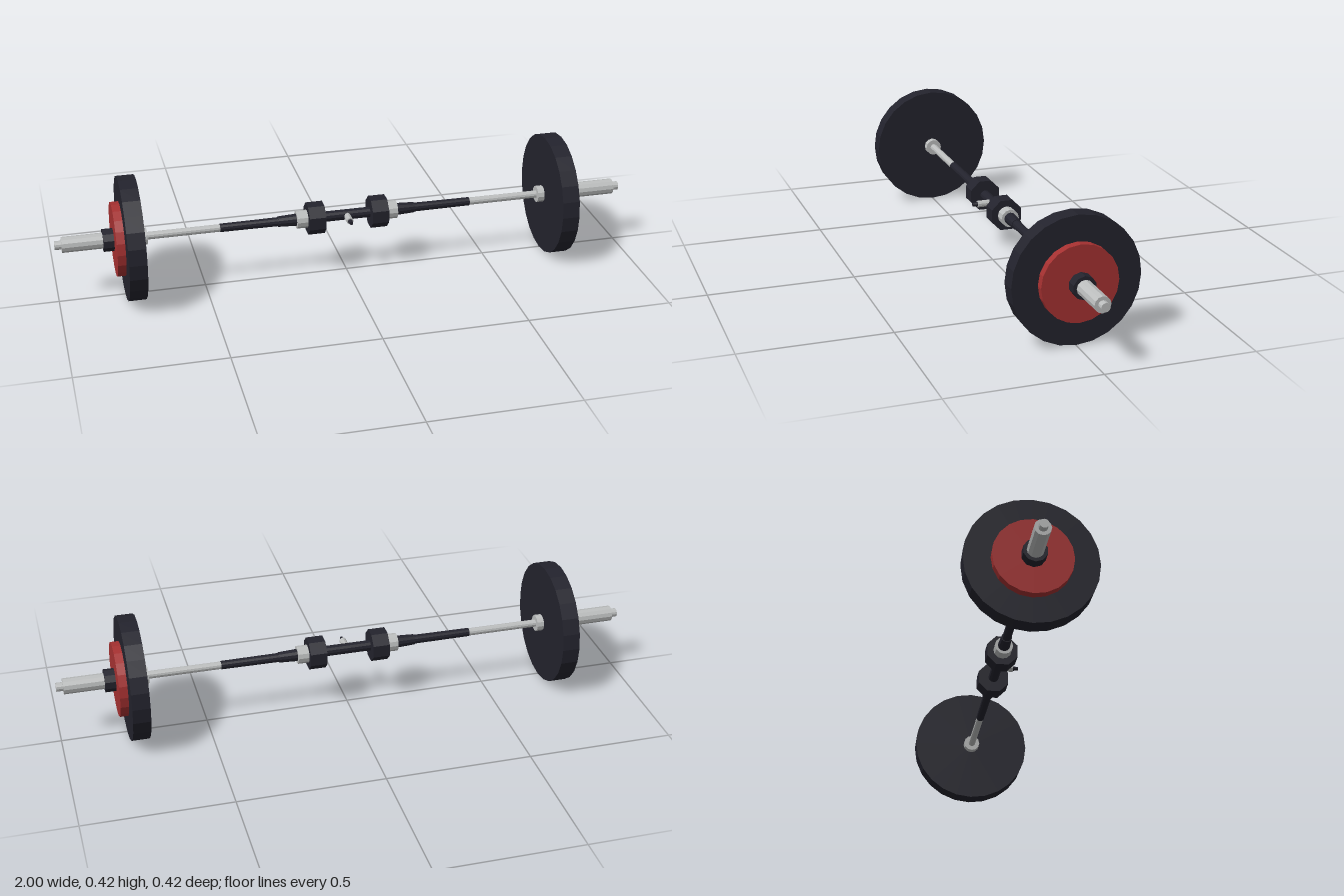
import * as THREE from 'three';

const AXIS_Y = 0.212;

export function createModel() {
  const model = new THREE.Group();
  model.name = 'barbell';

  const make = (name, color) => {
    const m = new THREE.MeshStandardMaterial({ color, flatShading: true });
    m.name = name;
    return m;
  };
  const rubber = make('dark rubber', 0x23232d);
  const steel = make('steel', 0xbcbebe);
  const red = make('red plate', 0xa63131);

  // Cylinder lying along x from x0 to x1, with a vertex at the top unless turned
  function rod(parent, name, mat, x0, x1, r0, r1, sides, turn = 0) {
    const geo = new THREE.CylinderGeometry(r1, r0, x1 - x0, sides);
    geo.rotateY(Math.PI / 2 + turn);
    geo.rotateZ(-Math.PI / 2);
    const mesh = new THREE.Mesh(geo, mat);
    mesh.name = name;
    mesh.position.set((x0 + x1) / 2, AXIS_Y, 0);
    parent.add(mesh);
  }

  // Centre of the bar
  rod(model, 'centreGrip', rubber, -0.085, 0.085, 0.018, 0.018, 12);

  // Each half: the right one is the left turned around the vertical axis
  for (const side of ['left', 'right']) {
    const half = new THREE.Group();
    half.name = side + 'Half';
    const add = (...args) => rod(half, ...args);
    add('clampNut', rubber, 0.082, 0.14, 0.056, 0.056, 8, Math.PI / 8);
    add('clampRing', steel, 0.14, 0.178, 0.031, 0.031, 12);
    add('gripCuff', rubber, 0.178, 0.242, 0.021, 0.018, 12);
    add('grip', rubber, 0.242, 0.443, 0.0155, 0.0145, 12);
    add('bar', steel, 0.443, 0.695, 0.013, 0.013, 12);
    add('innerCollar', steel, 0.692, 0.718, 0.029, 0.029, 12);
    add('largePlate', rubber, 0.716, 0.776, 0.212, 0.212, 24);
    add('smallPlate', red, 0.776, 0.804, 0.127, 0.127, 20);
    add('outerCollar', rubber, 0.804, 0.84, 0.039, 0.039, 10);
    add('sleeve', steel, 0.84, 0.977, 0.027, 0.027, 12);
    add('sleeveTip', steel, 0.977, 1.0, 0.015, 0.015, 12);
    if (side === 'right') half.rotation.y = Math.PI;
    model.add(half);
  }

  // Small release pin pointing forward from the centre
  function pin(name, mat, z0, z1, r0, r1) {
    const geo = new THREE.CylinderGeometry(r1, r0, z1 - z0, 10);
    geo.rotateX(Math.PI / 2);
    const mesh = new THREE.Mesh(geo, mat);
    mesh.name = name;
    mesh.position.set(0, AXIS_Y, (z0 + z1) / 2);
    model.add(mesh);
  }
  pin('releasePin', steel, 0.01, 0.056, 0.012, 0.012);
  pin('releasePinTip', rubber, 0.056, 0.074, 0.008, 0.006);

  return model;
}
